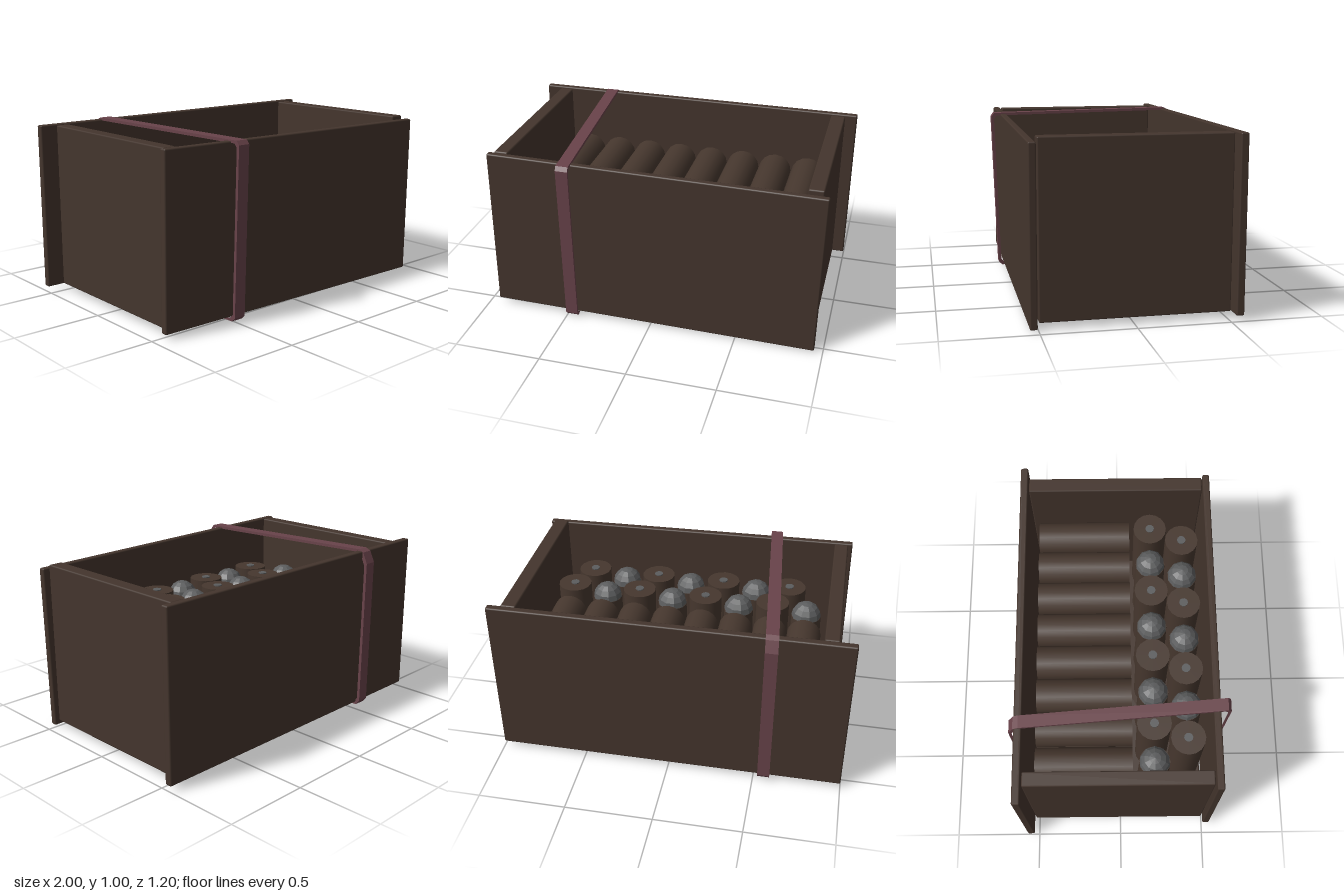
import * as THREE from 'three';
import { RoundedBoxGeometry } from 'three/addons/geometries/RoundedBoxGeometry.js';

export function createModel() {
  const model = new THREE.Group();
  model.name = 'ammunitionCrate';
  const mat = (name, color, flatShading = false) => {
    const m = new THREE.MeshStandardMaterial({ color, flatShading });
    m.name = name;
    return m;
  };
  const wood = mat('darkWood', 0x44352d);
  const casing = mat('brownCasing', 0x46372e);
  const lead = mat('greyLead', 0x5c5d5e, true);
  const strapRed = mat('dullRedStrap', 0x69434a, true);

  const add = (name, geometry, material, x = 0, y = 0, z = 0) => {
    const mesh = new THREE.Mesh(geometry, material);
    mesh.name = name;
    mesh.position.set(x, y, z);
    model.add(mesh);
    return mesh;
  };

  // Crate boards, given by their limits
  const board = (name, x0, x1, y0, y1, z0, z1) => add(name,
    new RoundedBoxGeometry(x1 - x0, y1 - y0, z1 - z0, 1, 0.008), wood,
    (x0 + x1) / 2, (y0 + y1) / 2, (z0 + z1) / 2);
  board('backBoard', -1, 1, 0.035, 0.99, -0.57, -0.527);
  board('frontBoard', -0.937, 0.957, 0.022, 0.975, 0.505, 0.545).rotation.z = -0.012;
  board('leftBoard', 0.845, 0.93, 0.04, 0.985, -0.52, 0.497);
  board('rightBoard', -0.905, -0.825, 0.04, 0.985, -0.52, 0.497);
  board('floorBoard', -0.815, 0.835, 0.04, 0.08, -0.525, 0.495);

  // Cartridges lying in layers against the back
  const lying = new THREE.CylinderGeometry(0.099, 0.099, 0.55, 16);
  lying.rotateX(Math.PI / 2);
  for (const y of [0.2, 0.4, 0.6])
    for (let i = 0; i < 8; i++)
      add('lyingCartridge', lying, casing, -0.7 + i * 0.2045, y, -0.205);

  // Standing cartridges, alternately nose up and base up
  const baseUp = new THREE.CylinderGeometry(0.099, 0.099, 0.64, 16);
  const noseUp = new THREE.CylinderGeometry(0.088, 0.099, 0.57, 16);
  const nose = new THREE.SphereGeometry(0.088, 10, 4, 0, Math.PI * 2, 0, Math.PI / 2);
  const primer = new THREE.CylinderGeometry(0.026, 0.026, 0.008, 10);
  const standing = (x, z, pointsUp) => {
    if (pointsUp) {
      add('noseUpCasing', noseUp, casing, x, 0.365, z);
      add('bulletNose', nose, lead, x, 0.65, z);
    } else {
      add('baseUpCasing', baseUp, casing, x, 0.4, z);
      add('primer', primer, lead, x, 0.722, z);
    }
  };
  for (let i = 0; i < 8; i++) standing(-0.7 + i * 0.2045, 0.195, i % 2 === 0);
  for (let i = 0; i < 7; i++) standing(-0.58 + i * 0.2055, 0.385, i % 2 === 1);

  // Slanting strap: a closed band profile (-z, y), extruded across its width
  const loop = [
    [-0.602, 0.965], [-0.585, 0.988], [0.545, 1.0], [0.575, 0.985], [0.603, 0.92],
    [0.597, 0.05], [0.575, 0.022], [-0.55, 0.004], [-0.572, 0.025],
  ].map(([a, b]) => new THREE.Vector2(a, b));
  const band = new THREE.Shape(loop);
  band.holes.push(new THREE.Path(
    loop.map((p) => new THREE.Vector2(p.x * 0.972, 0.5 + (p.y - 0.5) * 0.967))));
  const strap = new THREE.ExtrudeGeometry(band, { depth: 0.07, bevelEnabled: false });
  strap.translate(0, 0, -0.035);
  strap.rotateY(Math.PI / 2);
  const pos = strap.attributes.position;
  for (let i = 0; i < pos.count; i++)
    pos.setX(i, pos.getX(i) - 0.515 + 0.079 * pos.getZ(i));
  strap.computeVertexNormals();
  add('strap', strap, strapRed);

  return model;
}
